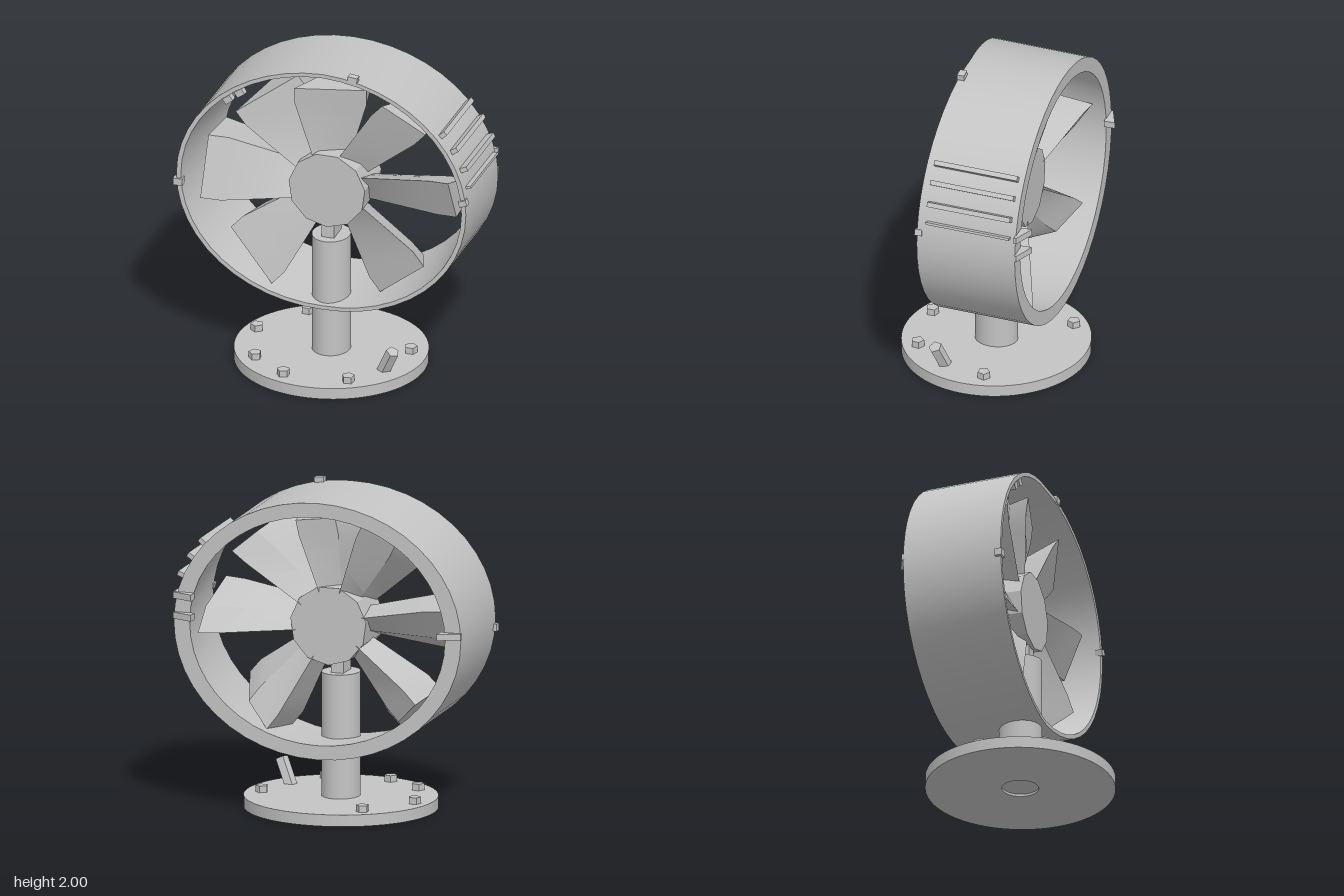
import * as THREE from 'three';
import { toCreasedNormals } from 'three/addons/utils/BufferGeometryUtils.js';

export function createModel() {
  const model = new THREE.Group();
  const grey = new THREE.MeshStandardMaterial({ color: 0xc4c4c4 });
  grey.name = 'plain grey';

  const add = (name, geometry, x = 0, y = 0, z = 0, parent = model) => {
    const mesh = new THREE.Mesh(geometry, grey);
    mesh.name = name;
    mesh.position.set(x, y, z);
    parent.add(mesh);
    return mesh;
  };
  const lerp = THREE.MathUtils.lerp;

  // Move every vertex by a rule, then recompute normals with sharp edges
  const reshape = (geometry, rule, crease = 0.6) => {
    const p = geometry.attributes.position;
    const v = new THREE.Vector3();
    for (let i = 0; i < p.count; i++) {
      rule(v.fromBufferAttribute(p, i));
      p.setXYZ(i, v.x, v.y, v.z);
    }
    return toCreasedNormals(geometry, crease);
  };

  const CY = 1.185, RX = 0.922, RY = 0.793; // duct centre height and half sizes
  const HUB_Y = 1.165;

  // Round base plate with a shallow socket underneath
  const disc = new THREE.Shape().absarc(0, 0, 0.592, 0, Math.PI * 2);
  disc.holes.push(new THREE.Path().absarc(0, 0, 0.115, 0, Math.PI * 2, true));
  const plate = new THREE.ExtrudeGeometry(disc, { depth: 0.072, bevelEnabled: false, curveSegments: 48 });
  plate.rotateX(-Math.PI / 2);
  plate.scale(1, 1, 0.97);
  add('basePlate', toCreasedNormals(plate, 0.6));

  // Post and the neck that carries the hub
  const post = new THREE.CylinderGeometry(0.118, 0.118, 0.825, 24);
  post.scale(1, 1, 1.12);
  add('post', post, 0, 0.4275, 0);
  add('neck', new THREE.BoxGeometry(0.08, 0.22, 0.14), 0, 0.91, 0);

  // Five-sided bolts on the base
  const bolts = new THREE.Group();
  bolts.name = 'baseBolts';
  model.add(bolts);
  [[-0.5, -0.08], [-0.39, 0.29], [-0.155, 0.46], [0.245, 0.42], [0.48, -0.08], [-0.28, -0.4]].forEach(([x, z], i) => {
    const bolt = add('bolt', toCreasedNormals(new THREE.CylinderGeometry(0.04, 0.04, 0.045, 5), 0.5), x, 0.09, z, bolts);
    bolt.rotation.y = i * 1.1;
  });

  // Slanted lever
  const from = new THREE.Vector3(0.385, 0.04, 0.19), to = new THREE.Vector3(0.468, 0.218, 0.235);
  const lever = add('lever', toCreasedNormals(new THREE.CylinderGeometry(0.042, 0.042, from.distanceTo(to), 5), 0.5));
  lever.position.copy(from).lerp(to, 0.5);
  lever.quaternion.setFromUnitVectors(new THREE.Vector3(0, 1, 0), to.clone().sub(from).normalize());

  // Oval duct: thin front lip, thick back rim, slightly bowed front edge
  const section = [[RX, -0.425], [RX, 0.165], [0.893, 0.165], [0.82, -0.425], [RX, -0.425]];
  const duct = new THREE.LatheGeometry(section.map(([r, h]) => new THREE.Vector2(r, h)), 48);
  duct.rotateX(Math.PI / 2);
  add('duct', reshape(duct, (v) => {
    v.y *= RY / RX;
    if (v.z > 0) v.z += 0.035 * Math.abs(v.x / RX);
    else if (v.y < 0) v.z += 0.012 * v.y;
    v.y += 0.035 * v.z;
  }), 0, CY, 0);

  // Hub
  const hub = new THREE.CylinderGeometry(0.245, 0.245, 0.32, 11);
  hub.rotateX(Math.PI / 2);
  add('hub', toCreasedNormals(hub, 0.4), 0, HUB_Y, -0.07);

  // Deep wedge blades: broad nearly flat front, narrower back swept clockwise
  const blades = new THREE.Group();
  blades.name = 'blades';
  model.add(blades);
  [[3, 0.28], [48, 0.32], [89, 0.42], [124, 0.43], [178, 0.37], [227, 0.41], [311, 0.42]].forEach(([deg, width]) => {
    const a = THREE.MathUtils.degToRad(deg);
    const tip = 1 / Math.hypot(Math.cos(a) / 0.81, Math.sin(a) / 0.69);
    const blade = reshape(new THREE.BoxGeometry(1, 1, 1, 5, 1, 1), (v) => {
      const u = v.x + 0.5;
      const front = v.z > 0;
      const chord = lerp(0.18, width, Math.min(1, u / 0.8));
      v.set(
        lerp(0.16, tip, u) - 0.04 * u * Math.abs(v.y),
        front ? v.y * chord : v.y * chord * 0.5 - 0.05 * u,
        (front ? lerp(0, 0.06, u) : lerp(-0.16, -0.29, u)) + 0.12 * v.y
      );
    }, 0.5);
    add('blade', blade, 0, HUB_Y, 0, blades).rotation.z = a;
  });

  // Raised ribs along the upper side of the duct
  const ribs = new THREE.Group();
  ribs.name = 'sideRibs';
  model.add(ribs);
  [1.665, 1.57, 1.455, 1.34].forEach((y, i) => {
    const dy = y - CY;
    const x = RX * Math.sqrt(1 - (dy / RY) ** 2);
    const rib = add('rib', new THREE.BoxGeometry(0.06, i < 3 ? 0.03 : 0.015, 0.53), x + (i < 3 ? 0.015 : 0), y, -0.125, ribs);
    rib.rotation.z = Math.atan2(dy / RY ** 2, x / RX ** 2);
    rib.rotation.x = -0.03;
  });

  // Small clips on the front lip
  [[-0.91, 1.14, 0.19, 0.06, 0], [0.19, 1.975, 0.155, 0.06, -0.1], [0.903, 1.27, 0.19, 0.05, 0.3],
    [-0.6, 1.73, 0.165, 0.055, 0.65], [-0.525, 1.785, 0.165, 0.055, 0.6]].forEach(([x, y, z, size, turn]) => {
    add('frontClip', new THREE.BoxGeometry(size, size * 0.75, 0.045), x, y, z).rotation.z = turn;
  });

  // Wedge tabs behind the back rim, tallest on the inner side
  [[1, 1.33], [1, 1.205], [-1, 1.205]].forEach(([side, y]) => {
    const wedge = new THREE.Shape([[0.79, -0.42], [0.925, -0.42], [0.925, -0.435], [0.79, -0.49]]
      .map(([x, z]) => new THREE.Vector2(side * x, -z)));
    const tab = new THREE.ExtrudeGeometry(wedge, { depth: 0.04, bevelEnabled: false });
    tab.rotateX(-Math.PI / 2);
    add('backTab', tab, 0, y - 0.02, 0);
  });

  return model;
}
